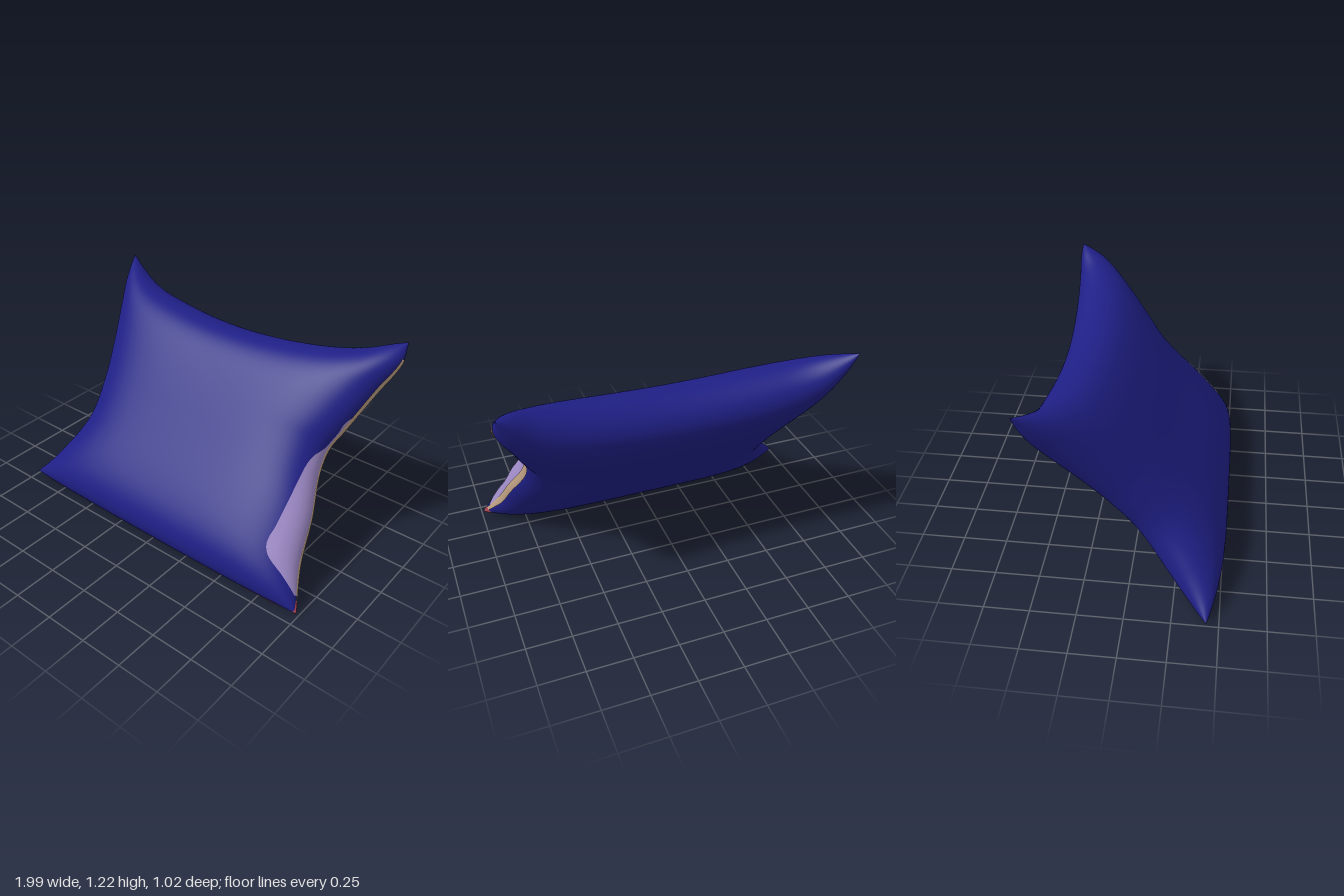
import * as THREE from 'three';
import { mergeVertices } from 'three/addons/utils/BufferGeometryUtils.js';

const PU = 5, PV = 6;          // fullness across and along the cushion
const HALF = 0.765;            // half length along the leaning direction

const mat = (name, color, side = THREE.FrontSide) => {
  const m = new THREE.MeshStandardMaterial({ color, side });
  m.name = name;
  return m;
};

// Smooth curve through [position, value] pairs
const curve = (pairs) => {
  const c = new THREE.CubicInterpolant(pairs.map(p => p[0]), pairs.map(p => p[1]), 1, [0]);
  return (x) => c.evaluate(x)[0];
};

// Outline of the four edges
const rightEdge = curve([[-0.765, 0.985], [-0.54, 0.9], [-0.29, 0.855], [-0.03, 0.79], [0.1, 0.79],
  [0.21, 0.83], [0.47, 0.92], [0.66, 0.985], [0.765, 0.975]]);
const leftEdge = curve([[-0.765, 1.0], [-0.67, 0.92], [-0.54, 0.84], [-0.29, 0.74], [-0.04, 0.75],
  [0.21, 0.8], [0.47, 0.87], [0.6, 0.91], [0.765, 0.95]]);
const topEdge = curve([[-1, 0.76], [-0.93, 0.715], [-0.75, 0.63], [-0.5, 0.58], [0, 0.546],
  [0.5, 0.592], [0.8, 0.668], [0.93, 0.73], [1, 0.76]]);
const bottomEdge = (u) => 0.77 - 0.006 * u * u;

const fall = (a, p) => Math.sqrt(Math.max(0, 1 - Math.abs(a) ** p));
const depth = (side) => (side > 0 ? 0.193 : 0.185);

// Sag of the seam plane: forward at the bottom, backward at the top
const sag = (u, v) => (1 - u ** 4) * v * v * (v < 0 ? 0.03 : -0.02);

// Point on the cushion: u across, v along, side +1 front or -1 back
function surface(u, v, side) {
  const s = v * HALF;
  return [
    u * (u > 0 ? rightEdge(s) : leftEdge(s)),
    v * (v > 0 ? topEdge(u) : bottomEdge(u)),
    side * depth(side) * fall(u, PU) * fall(v, PV) + sag(u, v),
  ];
}

// Grid of quads from a rule point(a, b), with a and b from 0 to 1
function addGrid(positions, index, na, nb, point, flip) {
  const base = positions.length / 3;
  for (let i = 0; i <= na; i++)
    for (let j = 0; j <= nb; j++) positions.push(...point(i / na, j / nb));
  for (let i = 0; i < na; i++) {
    for (let j = 0; j < nb; j++) {
      const a = base + i * (nb + 1) + j, b = a + nb + 1;
      if (flip) index.push(a, a + 1, b, b, a + 1, b + 1);
      else index.push(a, b, a + 1, b, b + 1, a + 1);
    }
  }
}

function finish(positions, index, weld) {
  let g = new THREE.BufferGeometry();
  g.setAttribute('position', new THREE.Float32BufferAttribute(positions, 3));
  g.setIndex(index);
  if (weld) g = mergeVertices(g, 1e-5);
  g.computeVertexNormals();
  return g;
}

// Parameter on a rounded edge where the surface has height t
const edgeAt = (t, full, p) => (1 - Math.min(0.92, Math.abs(t) / full) ** 2) ** (1 / p);

// Thin cover on the right edge, between heights lo(s) and hi(s)
function sideStrip(s0, s1, lo, hi, lift) {
  const pos = [], idx = [];
  addGrid(pos, idx, 60, 8, (a, b) => {
    const s = s0 + (s1 - s0) * a, v = s / HALF;
    const t = lo(s) + (hi(s) - lo(s)) * b, side = t >= 0 ? 1 : -1;
    const p = surface(edgeAt(t, depth(side) * fall(v, PV), PU), v, side);
    return [p[0] + lift, p[1], p[2] * 1.03];
  }, true);
  return finish(pos, idx);
}

// Thin cover on the bottom edge
function bottomStrip(u0, u1, lo, hi) {
  const pos = [], idx = [];
  addGrid(pos, idx, 30, 4, (a, b) => {
    const u = u0 + (u1 - u0) * a, t = lo + (hi - lo) * b, side = t >= 0 ? 1 : -1;
    const p = surface(u, -edgeAt(t, depth(side) * fall(u, PU), PV), side);
    return [p[0], p[1] - 0.005, p[2]];
  }, false);
  return finish(pos, idx);
}

export function createModel() {
  const blue = mat('blue fabric', 0x1f1f86);
  const lavender = mat('lavender patch', 0x9f8bc8, THREE.DoubleSide);
  const tan = mat('tan piping', 0xc0a283, THREE.DoubleSide);
  const red = mat('red stitching', 0xb84a58, THREE.DoubleSide);

  const model = new THREE.Group();
  model.name = 'cushion';
  const lean = new THREE.Group();
  lean.name = 'leaningCushion';
  lean.rotation.x = -0.662;
  lean.position.set(0, 0.63, -0.035);
  model.add(lean);

  const add = (name, geometry, material) => {
    const m = new THREE.Mesh(geometry, material);
    m.name = name;
    lean.add(m);
  };

  // Stuffed body: front and back sheets welded along the seam
  const pos = [], idx = [];
  const ease = (a) => Math.sin((a - 0.5) * Math.PI);
  for (const side of [1, -1])
    addGrid(pos, idx, 72, 72, (a, b) => surface(ease(a), ease(b), side), side < 0);
  add('body', finish(pos, idx, true), blue);

  // Piping wanders slightly along the right seam
  const seam = curve([[-0.72, -0.004], [-0.4, -0.018], [-0.05, -0.022], [0.1, -0.014], [0.25, 0.002], [0.67, 0.01]]);
  const width = (s) => 0.021 * Math.min(1, 0.45 + (0.72 - Math.abs(s)) * 3);

  // Patch on the front of the right edge
  const patchTop = curve([[-0.68, 0.02], [-0.61, 0.08], [-0.54, 0.13], [-0.37, 0.137], [-0.09, 0.1],
    [0.03, 0.07], [0.1, 0.022], [0.18, 0.022], [0.25, 0.036], [0.3, 0.015]]);
  add('sidePatch', sideStrip(-0.68, 0.3, seam, patchTop, 0.003), lavender);

  // Piping, red at its lower end
  add('sidePiping', sideStrip(-0.705, 0.67, (s) => seam(s) - width(s), (s) => seam(s) + width(s), 0.006), tan);
  add('cornerStitching', sideStrip(-0.763, -0.705, () => -0.03, () => 0.012, 0.006), red);

  // Broken line of stitching under the bottom edge
  for (const [u0, u1] of [[-0.92, -0.2], [0.28, 0.55], [0.62, 0.9]])
    add('bottomStitching', bottomStrip(u0, u1, -0.03, -0.006), red);

  return model;
}
